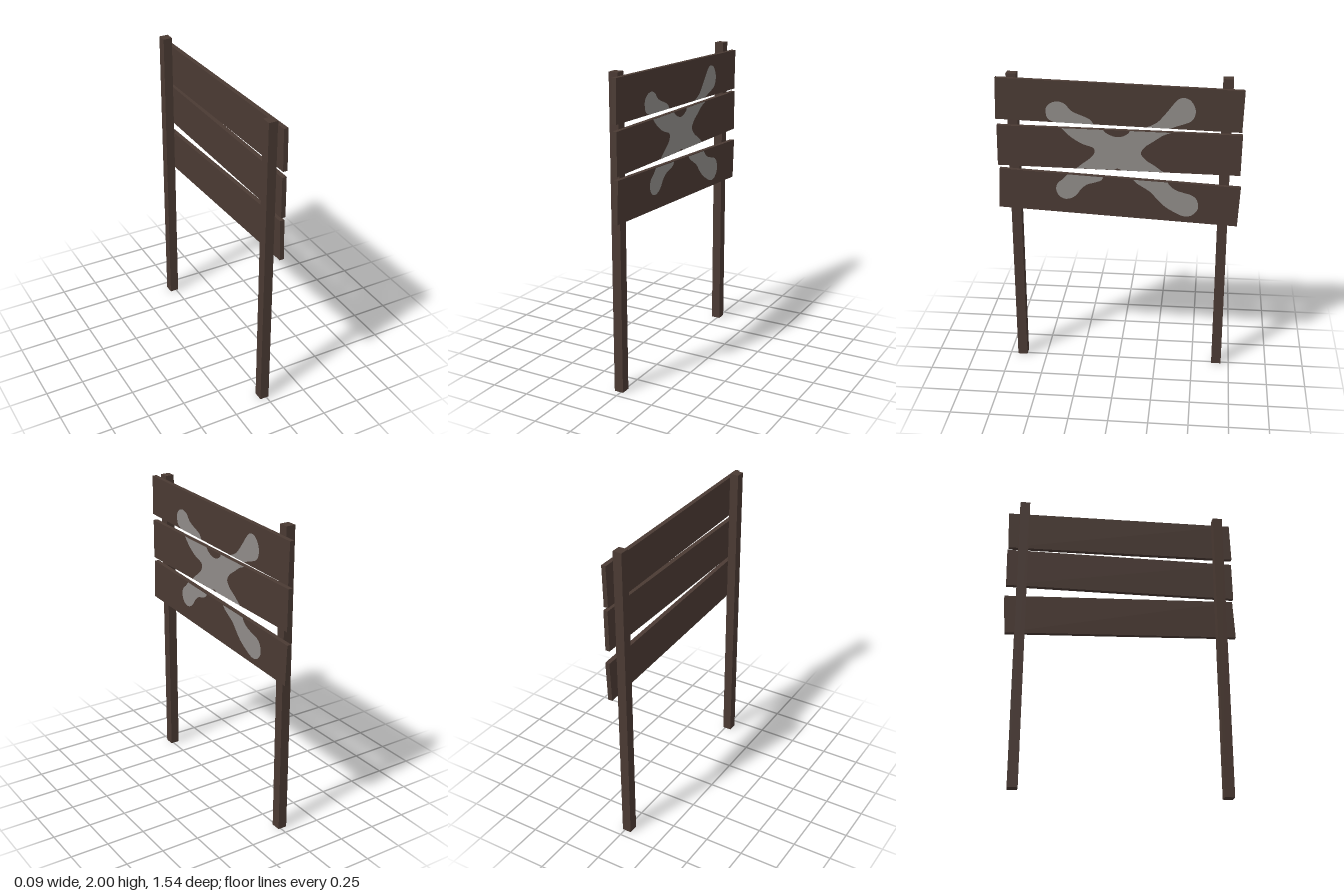
import * as THREE from 'three';

const wood = new THREE.MeshStandardMaterial({ color: 0x4a3a33 });
wood.name = 'darkWood';
const paint = new THREE.MeshStandardMaterial({ color: 0x8f8b88 });
paint.name = 'greyPaint';

// Paint outlines as [-z, y]; strokes are smooth curves joined by straight lines along the plank edges
const paintPatches = {
  topFrontPaint: [[
    [-.403, 1.705], [-.44, 1.728], [-.451, 1.765], [-.446, 1.802], [-.414, 1.831], [-.371, 1.839],
    [-.329, 1.823], [-.302, 1.791], [-.271, 1.77], [-.218, 1.749], [-.175, 1.728], [-.154, 1.698]]],
  topBackPaint: [[
    [.175, 1.689], [.239, 1.722], [.292, 1.781], [.34, 1.844], [.371, 1.876], [.408, 1.884], [.446, 1.865],
    [.472, 1.818], [.472, 1.775], [.451, 1.738], [.408, 1.717], [.361, 1.701], [.324, 1.685]]],
  middlePaint: [
    [[-.095, 1.664], [-.074, 1.643], [-.042, 1.627], [-.005, 1.619], [.032, 1.627], [.064, 1.648], [.069, 1.662]],
    [[.329, 1.658], [.276, 1.637], [.223, 1.6], [.17, 1.563], [.143, 1.526], [.149, 1.5], [.18, 1.468],
      [.223, 1.441], [.265, 1.41], [.286, 1.396]],
    [[.021, 1.399], [-.005, 1.41], [-.027, 1.4]],
    [[-.265, 1.403], [-.233, 1.431], [-.191, 1.463], [-.159, 1.494], [-.149, 1.526], [-.164, 1.547],
      [-.228, 1.569], [-.297, 1.611], [-.355, 1.667]]],
  bottomFrontPaint: [[
    [-.324, 1.36], [-.35, 1.33], [-.387, 1.298], [-.398, 1.256], [-.382, 1.214], [-.345, 1.192], [-.302, 1.198],
    [-.265, 1.224], [-.239, 1.261], [-.202, 1.293], [-.154, 1.309], [-.111, 1.325], [-.095, 1.348]]],
  bottomBackPaint: [[
    [.095, 1.338], [.117, 1.314], [.159, 1.288], [.207, 1.256], [.249, 1.208], [.292, 1.166], [.35, 1.129],
    [.408, 1.102], [.456, 1.102], [.493, 1.129], [.509, 1.166], [.499, 1.214], [.467, 1.245], [.414, 1.261],
    [.366, 1.277], [.329, 1.304], [.313, 1.328]]],
};

function paintGeometry(strokes) {
  const shape = new THREE.Shape();
  strokes.forEach((stroke, i) => {
    const [first, ...rest] = stroke.map(([u, v]) => new THREE.Vector2(u, v));
    if (i === 0) shape.moveTo(first.x, first.y);
    else shape.lineTo(first.x, first.y);
    shape.splineThru(rest);
  });
  shape.closePath();
  return new THREE.ShapeGeometry(shape, 5).rotateY(Math.PI / 2);
}

export function createModel() {
  const model = new THREE.Group();
  model.name = 'plankSign';

  function add(name, geometry, material, x, y, z) {
    const mesh = new THREE.Mesh(geometry, material);
    mesh.name = name;
    mesh.position.set(x, y, z);
    model.add(mesh);
    return mesh;
  }

  // Two square posts
  const post = new THREE.BoxGeometry(0.06, 2, 0.064);
  add('frontPost', post, wood, -0.014, 1, 0.667);
  add('backPost', post, wood, -0.014, 1, -0.666);

  // Three crooked planks, each sloping down toward the back
  const plank = new THREE.BoxGeometry(0.029, 0.265, 1.533);
  [['topPlank', 1.826, 0.028], ['middlePlank', 1.531, 0.013], ['bottomPlank', 1.2135, 0.0503]]
    .forEach(([name, y, tilt]) => {
      add(name, plank, wood, 0.029, y, 0).rotation.x = -tilt;
    });

  // Painted cross, broken at the gaps between planks
  for (const [name, strokes] of Object.entries(paintPatches)) {
    add(name, paintGeometry(strokes), paint, 0.0445, 0, 0);
  }
  return model;
}
